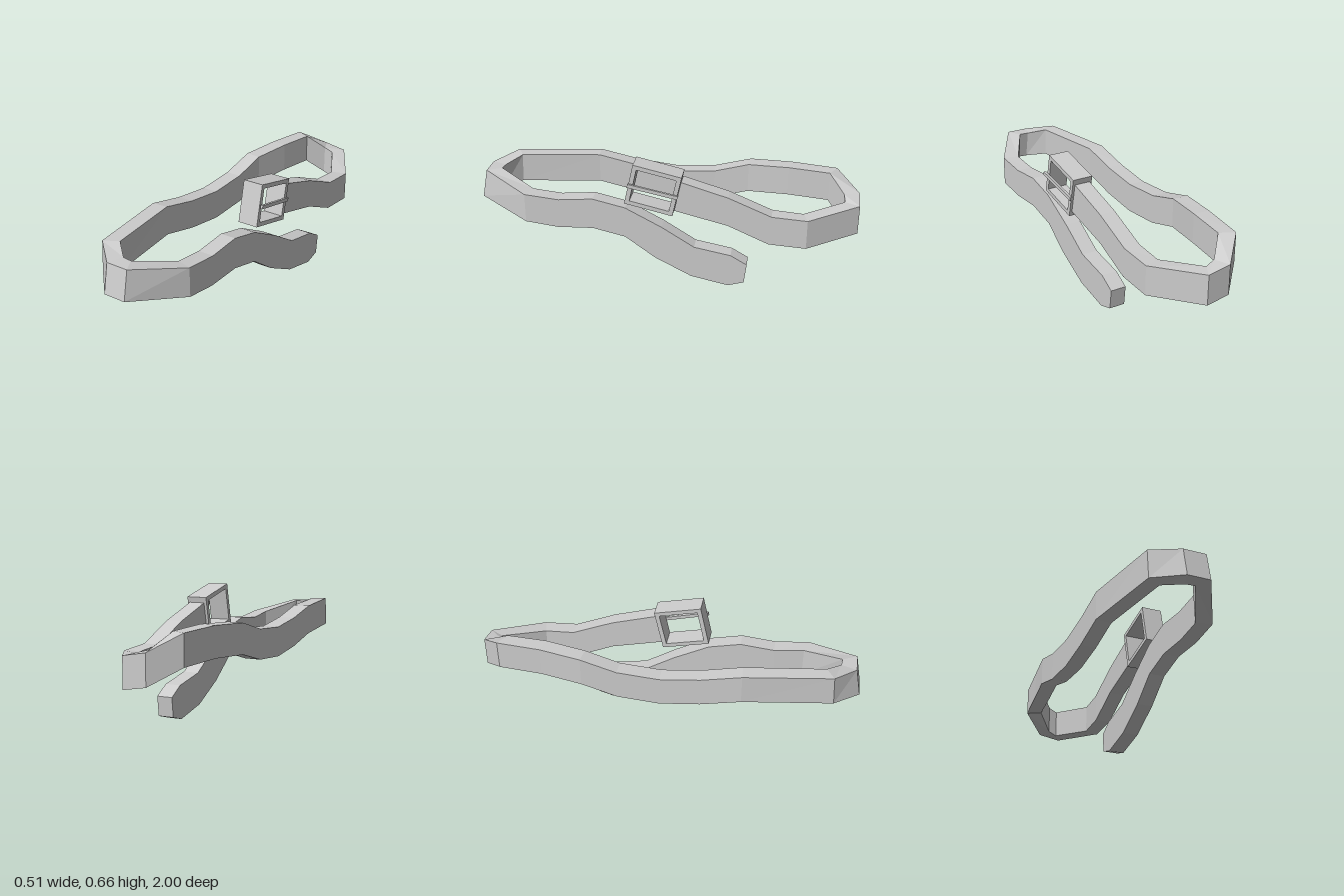
import * as THREE from 'three';

const material = new THREE.MeshStandardMaterial({ color: 0xcccccc, flatShading: true });
const THICKNESS = 0.085;

// Outer upper edge of the strap, from the buckle round the back and front to the tip:
// [x, z, top y, strap height if not standard, z shift of the lower edge]
const BACK = [
  [0.22, -0.10, 0.575, 0.16, 0.035],
  [0.22, -0.34, 0.505],
  [0.22, -0.56, 0.415, 0.155, 0.01],
  [0.22, -0.74, 0.405],
  [0.06, -1, 0.43],
  [-0.06, -1, 0.45],
];
const SIDE = [
  [-0.185, -0.88, 0.53],
  [-0.215, -0.64, 0.538],
  [-0.25, -0.42, 0.527],
  [-0.255, -0.23, 0.475],
  [-0.255, -0.01, 0.46],
  [-0.255, 0.20, 0.485],
  [-0.255, 0.41, 0.53],
  [-0.185, 0.86, 0.53, 0.155, 0.01],
];
const FRONT = [
  [-0.057, 0.97, 0.503, 0.153, 0.03],
  [0.063, 0.97, 0.503, 0.153, 0.03],
  [0.22, 0.72, 0.45],
  [0.22, 0.54, 0.433, 0.158, 0.01],
  [0.22, 0.36, 0.45, 0.167],
  [0.22, 0.19, 0.412, 0.167],
];
const TAIL = [
  [0.22, 0, 0.315, 0.18, 0.035],
  [0.22, -0.17, 0.212, 0.172, 0.015],
  [0.22, -0.36, 0.178, 0.178, 0.01],
  [0.22, -0.445, 0.13, 0.105, 0.012],
];

// Joins four-cornered sections into a band; the inner side is offset along the bend's bisector
function strapGeometry() {
  const stations = [...BACK, ...SIDE, ...FRONT, ...TAIL];
  const last = stations.length - 1;
  const outer = stations.map(([x, z]) => new THREE.Vector2(x, z));
  const directions = outer.slice(1).map((p, i) => p.clone().sub(outer[i]).normalize());
  const positions = [], index = [];

  stations.forEach(([x, z, top, height = 0.155, shift = 0], i) => {
    const before = directions[Math.max(i - 1, 0)];
    const after = directions[Math.min(i, last - 1)];
    const along = before.clone().add(after).setLength(THICKNESS);
    const ix = x + along.y, iz = z - along.x, bottom = top - height;
    positions.push(x, top, z, ix, top, iz, ix, bottom, iz + shift, x, bottom, z + shift);
    if (i === last) return;
    for (let k = 0; k < 4; k++) {
      const a = i * 4 + k, b = i * 4 + (k + 1) % 4;
      index.push(a, a + 4, b + 4, a, b + 4, b);
    }
  });

  // End caps
  const e = last * 4;
  index.push(0, 1, 2, 0, 2, 3, e, e + 2, e + 1, e, e + 3, e + 2);

  const indexed = new THREE.BufferGeometry();
  indexed.setAttribute('position', new THREE.Float32BufferAttribute(positions, 3));
  indexed.setIndex(index);
  const geometry = indexed.toNonIndexed();
  geometry.computeVertexNormals();
  return geometry;
}

function rectangle(PathType, w, h) {
  return new PathType([[-w, -h], [w, -h], [w, h], [-w, h]].map(
    ([x, y]) => new THREE.Vector2(x / 2, y / 2)));
}

function addMesh(parent, name, geometry) {
  const mesh = new THREE.Mesh(geometry, material);
  mesh.name = name;
  parent.add(mesh);
  return mesh;
}

export function createModel() {
  const model = new THREE.Group();
  model.name = 'belt';
  addMesh(model, 'strap', strapGeometry());

  // Buckle, drawn flat and then turned to face +x, tilted down to the back
  const buckle = new THREE.Group();
  buckle.name = 'buckle';
  buckle.position.set(0.121, 0.524, 0.043);
  buckle.rotation.y = Math.PI / 2;
  model.add(buckle);
  const tilted = new THREE.Group();
  tilted.name = 'tiltedBuckle';
  tilted.rotation.z = -0.217;
  buckle.add(tilted);

  // Square frame with a rectangular opening
  const outline = rectangle(THREE.Shape, 0.254, 0.221);
  outline.holes.push(rectangle(THREE.Path, 0.208, 0.177));
  addMesh(tilted, 'buckleFrame',
    new THREE.ExtrudeGeometry(outline, { depth: 0.111, bevelEnabled: false }));

  // Prong resting across the opening, its tip leaning outward
  const prong = addMesh(tilted, 'buckleProng', new THREE.BoxGeometry(0.262, 0.019, 0.013));
  prong.position.z = 0.12;
  prong.rotation.y = 0.045;

  return model;
}
